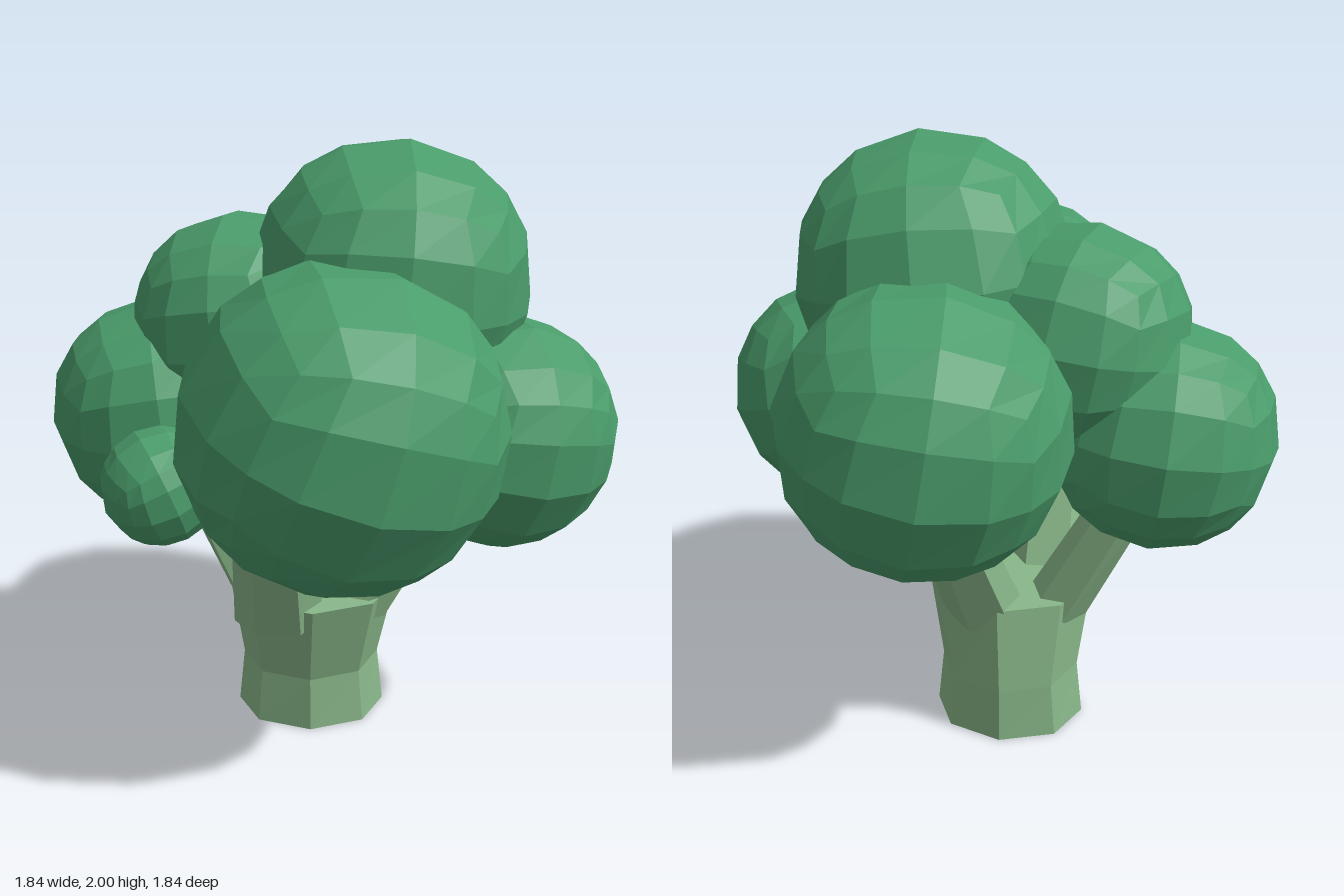
import * as THREE from 'three';

const leafMat = new THREE.MeshStandardMaterial({ color: 0x4a9c6b, flatShading: true });
const stemMat = new THREE.MeshStandardMaterial({ color: 0x8ab88a, flatShading: true });

// Cube with 4 x 4 quads per side, pushed out to a sphere
function ballGeometry(r) {
  const geo = new THREE.BoxGeometry(1, 1, 1, 4, 4, 4);
  const pos = geo.attributes.position;
  const v = new THREE.Vector3();
  for (let i = 0; i < pos.count; i++) {
    v.fromBufferAttribute(pos, i).setLength(r);
    pos.setXYZ(i, v.x, v.y, v.z);
  }
  geo.computeVertexNormals();
  return geo;
}

// Capped tube through level rings [x, y, z, radiusX, radiusZ], bottom to top
function loft(rings, sides, turn = 0) {
  const pts = [], idx = [];
  for (const [x, y, z, rx, rz] of rings) {
    for (let i = 0; i < sides; i++) {
      const a = turn + (i / sides) * Math.PI * 2;
      pts.push(x + Math.cos(a) * rx, y, z + Math.sin(a) * rz);
    }
  }
  for (let k = 0; k < rings.length - 1; k++) {
    for (let i = 0; i < sides; i++) {
      const j = (i + 1) % sides;
      const a = k * sides + i, b = k * sides + j;
      idx.push(a, a + sides, b, b, a + sides, b + sides);
    }
  }
  const top = (rings.length - 1) * sides;
  for (let i = 1; i < sides - 1; i++) {
    idx.push(0, i, i + 1, top, top + i + 1, top + i);
  }
  const geo = new THREE.BufferGeometry();
  geo.setAttribute('position', new THREE.Float32BufferAttribute(pts, 3));
  geo.setIndex(idx);
  geo.computeVertexNormals();
  return geo;
}

export function createModel() {
  const model = new THREE.Group();
  model.name = 'tree';
  const add = (name, geo, mat) => {
    const mesh = new THREE.Mesh(geo, mat);
    mesh.name = name;
    model.add(mesh);
    return mesh;
  };

  // Trunk: pinched a little above the foot, flaring to the fork
  add('trunk', loft([
    [-0.065, 0, -0.075, 0.255, 0.23],
    [-0.065, 0.19, -0.075, 0.235, 0.23],
    [-0.055, 0.49, -0.015, 0.285, 0.275],
  ], 8), stemMat);

  // Branches: base ring, then the end hidden in a crown ball
  const branches = [
    ['frontBranch', [-0.17, 0.4, 0.12, 0.15, 0.13], [-0.18, 0.92, 0.36, 0.13, 0.1]],
    ['leftBranch', [0.06, 0.4, 0.03, 0.14, 0.13], [0.4, 0.95, 0.07, 0.1, 0.09]],
    ['backBranch', [0.0, 0.4, -0.15, 0.14, 0.13], [0.1, 0.95, -0.43, 0.1, 0.1]],
    ['rightBranch', [-0.21, 0.4, -0.07, 0.12, 0.13], [-0.47, 0.9, -0.13, 0.1, 0.09]],
  ];
  branches.forEach(([name, base, end], i) => {
    add(name, loft([base, end], 6, i * 0.4), stemMat);
  });

  // Crown: name, centre, radius, tilt
  const balls = [
    ['topFoliage', [0.195, 1.545, 0.005], 0.46, [0.1, 0.06, -0.12]],
    ['frontFoliage', [0.035, 1.185, 0.42], 0.515, [0.25, 0.2, -0.35]],
    ['backFoliage', [0.135, 1.205, -0.475], 0.46, [-0.2, 0.15, 0.2]],
    ['leftFoliage', [0.545, 1.085, 0.135], 0.38, [0.3, 0.3, -0.25]],
    ['rightFoliage', [-0.555, 1.09, -0.1], 0.375, [0.1, 0.1, 0.1]],
    ['upperRightFoliage', [-0.285, 1.39, -0.085], 0.365, [0.15, -0.2, 0.15]],
    ['smallFoliage', [-0.525, 0.975, 0.35], 0.188, [0.2, 0.4, 0.3]],
  ];
  for (const [name, centre, r, tilt] of balls) {
    const ball = add(name, ballGeometry(r), leafMat);
    ball.position.set(...centre);
    ball.rotation.set(...tilt);
  }

  return model;
}
